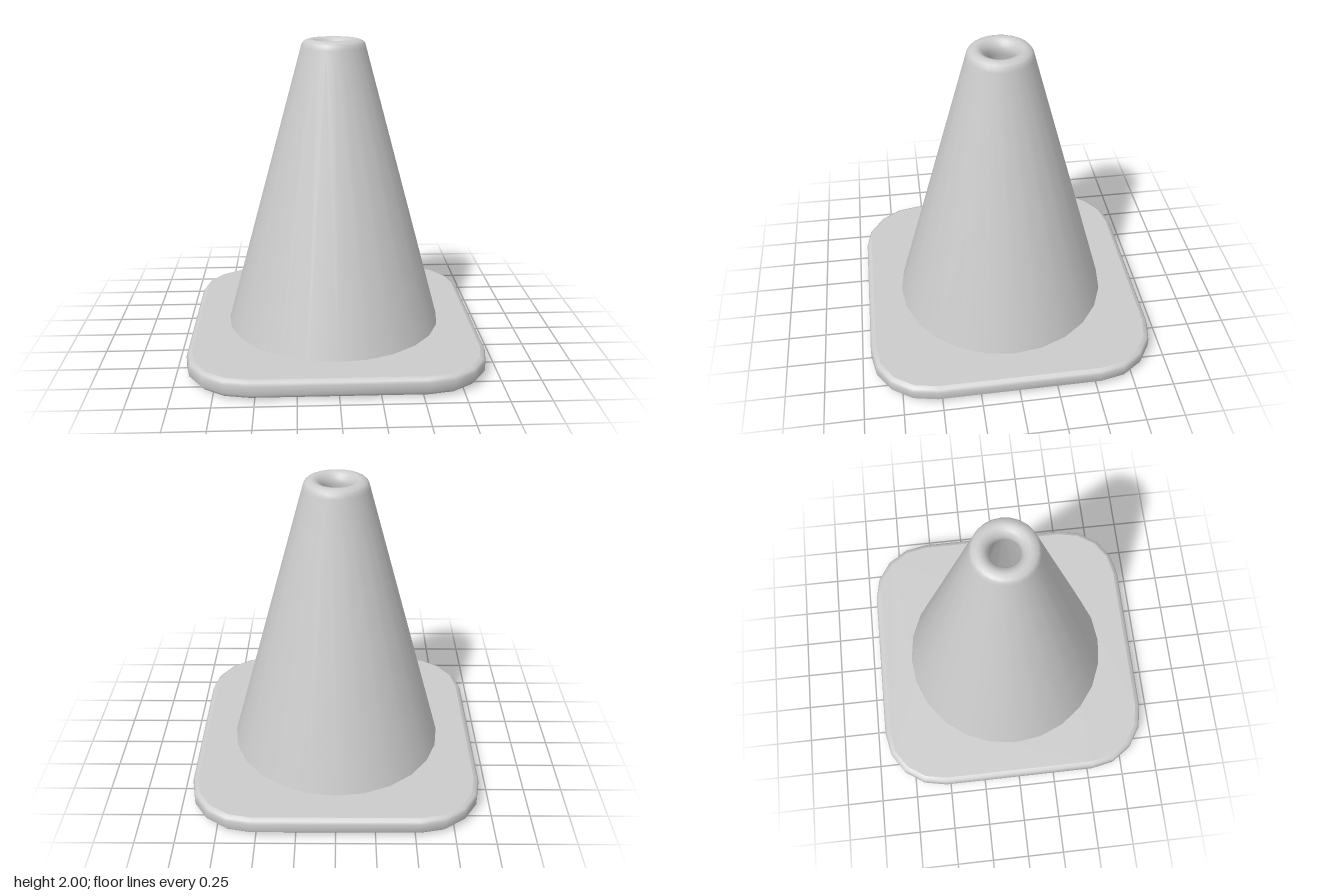
import * as THREE from 'three';
import { mergeVertices, toCreasedNormals } from 'three/addons/utils/BufferGeometryUtils.js';

const SIDES = 24;
const HALF = 0.94, CORNER = 0.41, HOLE = 0.6;

// Rounded square outline, pulled in by an inset; always 20 points
function outline(inset) {
  const pts = [], c = HALF - CORNER, r = CORNER - inset;
  for (let q = 0; q < 4; q++) {
    const sx = q === 0 || q === 3 ? 1 : -1, sy = q < 2 ? 1 : -1;
    for (let i = 0; i <= 4; i++) {
      const a = (q + i / 4) * Math.PI / 2;
      pts.push(new THREE.Vector2(sx * c + r * Math.cos(a), sy * c + r * Math.sin(a)));
    }
  }
  return pts;
}

// Flat face of the base with a round opening
function cap(inset, radius, y, up) {
  const shape = new THREE.Shape(outline(inset));
  const ring = [];
  for (let i = 0; i < SIDES; i++) {
    const a = -i / SIDES * Math.PI * 2;
    ring.push(new THREE.Vector2(radius * Math.cos(a), radius * Math.sin(a)));
  }
  shape.holes.push(new THREE.Path(ring));
  return new THREE.ShapeGeometry(shape).rotateX(up ? -Math.PI / 2 : Math.PI / 2).translate(0, y, 0);
}

// Rounded edge of the base: outlines stacked from bottom to top
function rim(levels) {
  const pos = [], index = [], n = 20;
  levels.forEach(([inset, y], k) => {
    for (const p of outline(inset)) pos.push(p.x, y, -p.y);
    if (k === 0) return;
    for (let i = 0; i < n; i++) {
      const a = (k - 1) * n + i, b = (k - 1) * n + (i + 1) % n;
      index.push(a, b, b + n, a, b + n, a + n);
    }
  });
  const g = new THREE.BufferGeometry();
  g.setAttribute('position', new THREE.Float32BufferAttribute(pos, 3));
  g.setIndex(index);
  g.computeVertexNormals();
  return g;
}

export function createModel() {
  const model = new THREE.Group();
  const mat = new THREE.MeshStandardMaterial({ color: 0xcccccc });
  const add = (name, geometry, parent) => {
    const mesh = new THREE.Mesh(geometry, mat);
    mesh.name = name;
    parent.add(mesh);
  };

  // Square base plate
  const base = new THREE.Group();
  base.name = 'base';
  model.add(base);
  add('baseEdge', rim([[0.035, 0.008], [0.022, 0.014], [0, 0.04], [0, 0.097], [0.012, 0.114], [0.035, 0.125]]), base);
  add('baseTop', cap(0.035, 0.7, 0.125, true), base);

  // Underside dips slightly to the rim of the opening
  const under = cap(0.035, HOLE, 0.008, false);
  const p = under.attributes.position;
  for (let i = 0; i < p.count; i++) {
    if (Math.hypot(p.getX(i), p.getZ(i)) < HOLE + 0.01) p.setY(i, 0);
  }
  under.computeVertexNormals();
  add('baseUnderside', under, base);

  // Hollow cone: up the outside, over the lip and down the inside
  const profile = [
    [0.705, 0.125], [0.207, 1.95], [0.2, 1.975], [0.187, 1.99], [0.16, 2],
    [0.14, 2], [0.115, 1.988], [0.1, 1.965], [0.09, 1.94], [0.1, 1.9], [HOLE, 0],
  ].map(([r, y]) => new THREE.Vector2(r, y));
  const lathe = new THREE.LatheGeometry(profile, SIDES);
  lathe.deleteAttribute('normal');
  lathe.deleteAttribute('uv');
  add('cone', toCreasedNormals(mergeVertices(lathe), 0.75), model);
  return model;
}
